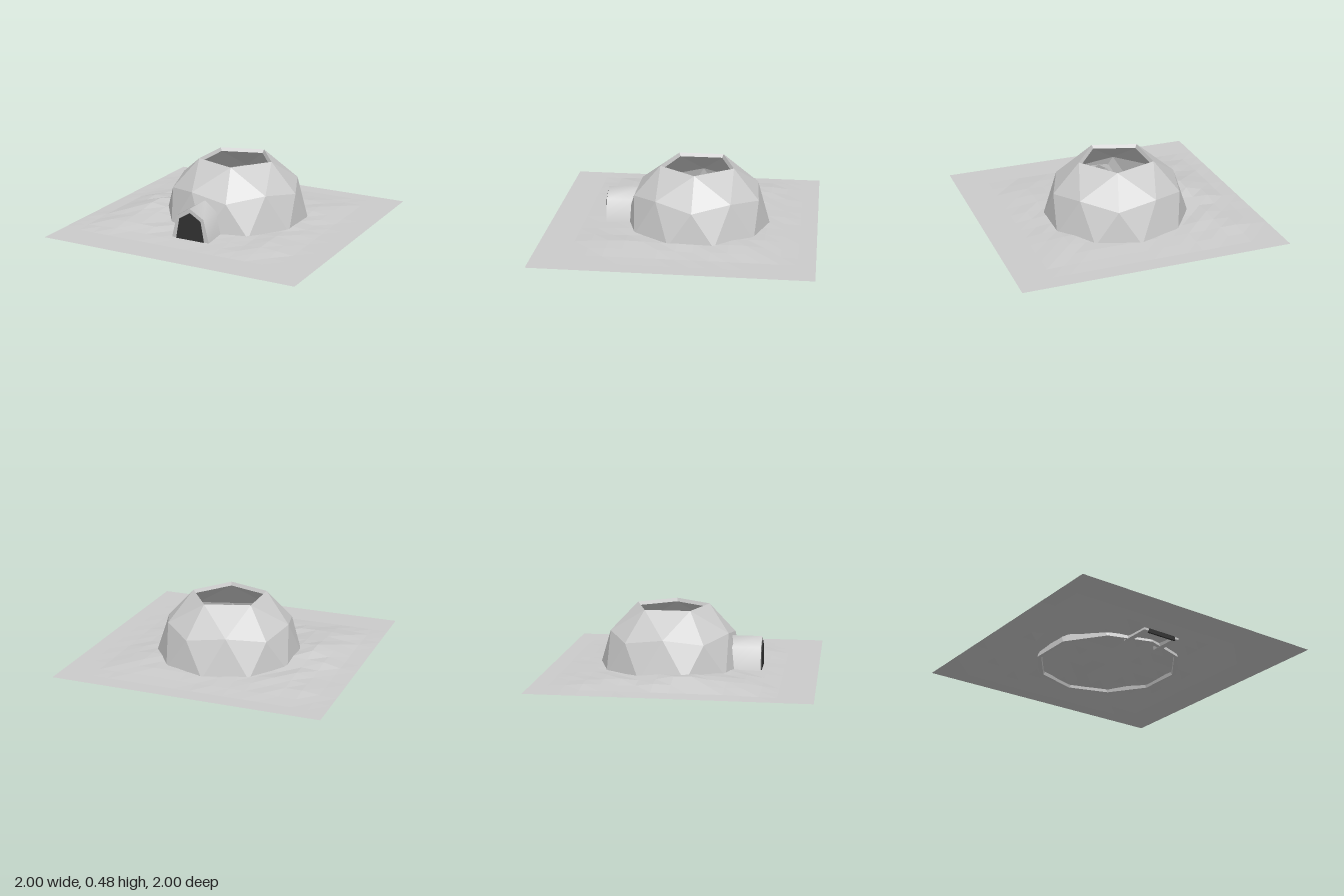
import * as THREE from 'three';
import { toCreasedNormals } from 'three/addons/utils/BufferGeometryUtils.js';

const snow = new THREE.MeshStandardMaterial({ color: 0xcccccc, flatShading: true, side: THREE.DoubleSide });
const smoothSnow = new THREE.MeshStandardMaterial({ color: 0xcccccc, side: THREE.DoubleSide });
const dark = new THREE.MeshStandardMaterial({ color: 0x333333 });

function add(group, name, geometry, material) {
  const mesh = new THREE.Mesh(geometry, material);
  mesh.name = name;
  group.add(mesh);
  return mesh;
}

// Point on a sphere from polar angle and heading, both in degrees
function onSphere(r, polar, heading) {
  const p = THREE.MathUtils.degToRad(polar), h = THREE.MathUtils.degToRad(heading);
  return [r * Math.sin(p) * Math.cos(h), r * Math.cos(p), r * Math.sin(p) * Math.sin(h)];
}

// Rings of a geodesic half sphere without its cap
function domeRings(r) {
  const top = [], middle = [], base = [];
  for (let i = 0; i < 5; i++) top.push(onSphere(r, 31.72, 72 * i));
  for (let i = 0; i < 10; i++) {
    middle.push(onSphere(r, i % 2 ? 58.28 : 63.43, 36 * i));
    base.push(onSphere(r, 90, 18 + 36 * i));
  }
  return { top, middle, base };
}

// Thick-walled dome: outer shell, inner shell and the two rims
function domeGeometry(radius, innerRadius) {
  const pos = [];
  const tri = (a, b, c) => pos.push(...a, ...b, ...c);
  const at = (ring, i) => ring[(i + ring.length) % ring.length];
  const shell = ({ top, middle, base }, face) => {
    for (let k = 0; k < 5; k++) {
      face(top[k], at(middle, 2 * k), at(middle, 2 * k - 1));
      face(top[k], at(middle, 2 * k + 1), at(middle, 2 * k));
      face(top[k], at(top, k + 1), at(middle, 2 * k + 1));
    }
    for (let j = 0; j < 10; j++) {
      face(middle[j], base[j], at(base, j - 1));
      face(middle[j], at(middle, j + 1), base[j]);
    }
  };
  const rim = (a, b) => a.forEach((p, i) => {
    tri(p, b[i], at(b, i + 1));
    tri(p, at(b, i + 1), at(a, i + 1));
  });
  const outer = domeRings(radius), inner = domeRings(innerRadius);
  shell(outer, tri);
  shell(inner, (a, b, c) => tri(a, c, b));
  rim(outer.top, inner.top);
  rim(inner.base, outer.base);
  const g = new THREE.BufferGeometry();
  g.setAttribute('position', new THREE.Float32BufferAttribute(pos, 3));
  g.computeVertexNormals();
  return g;
}

// Snow field with soft drifts that fade out to a flat border
function groundGeometry() {
  const g = new THREE.PlaneGeometry(2, 2, 16, 16).rotateX(-Math.PI / 2);
  const p = g.attributes.position;
  let seed = 7;
  const random = () => (seed = (seed * 16807) % 2147483647) / 2147483647;
  const { smoothstep } = THREE.MathUtils;
  for (let i = 0; i < p.count; i++) {
    const x = p.getX(i), z = p.getZ(i), n = random();
    const fade = smoothstep(x, -1, -0.65) * (1 - smoothstep(x, 0.45, 0.82))
      * smoothstep(z, -0.9, -0.55) * (1 - smoothstep(z, 0.45, 0.78));
    const drift = Math.exp(-(((x + 0.62) / 0.22) ** 2) - ((z - 0.1) / 0.35) ** 2);
    p.setY(i, 0.02 + fade * (0.014 + 0.016 * n + 0.04 * drift));
  }
  g.computeVertexNormals();
  return g;
}

const points = list => list.map(([x, y]) => new THREE.Vector2(x, y));

export function createModel() {
  const model = new THREE.Group();
  model.name = 'snowHouse';

  add(model, 'snowGround', groundGeometry(), snow);

  const dome = add(model, 'dome', domeGeometry(0.545, 0.515), snow);
  dome.position.set(-0.004, 0.017, -0.1);

  // Entrance tunnel: an arch that is open below
  const outerArch = [[0.13, 0.015], [0.083, 0.2], [-0.027, 0.265], [-0.135, 0.2], [-0.18, 0.015]];
  const innerArch = [[-0.14, 0.015], [-0.108, 0.18], [-0.027, 0.23], [0.057, 0.18], [0.088, 0.015]];
  const arch = new THREE.Shape(points([...outerArch, ...innerArch]));
  const tunnel = new THREE.ExtrudeGeometry(arch, { depth: 0.24, bevelEnabled: false });
  add(model, 'entranceTunnel', toCreasedNormals(tunnel, 1.2), smoothSnow).position.z = 0.34;

  // Dark doorway panel closing the tunnel
  const doorway = new THREE.Shape(points([
    [0.092, 0], [0.06, 0.182], [-0.027, 0.235], [-0.111, 0.182], [-0.145, 0]]));
  const door = new THREE.ExtrudeGeometry(doorway, { depth: 0.014, bevelEnabled: false });
  add(model, 'doorway', door, dark).position.z = 0.573;

  return model;
}
